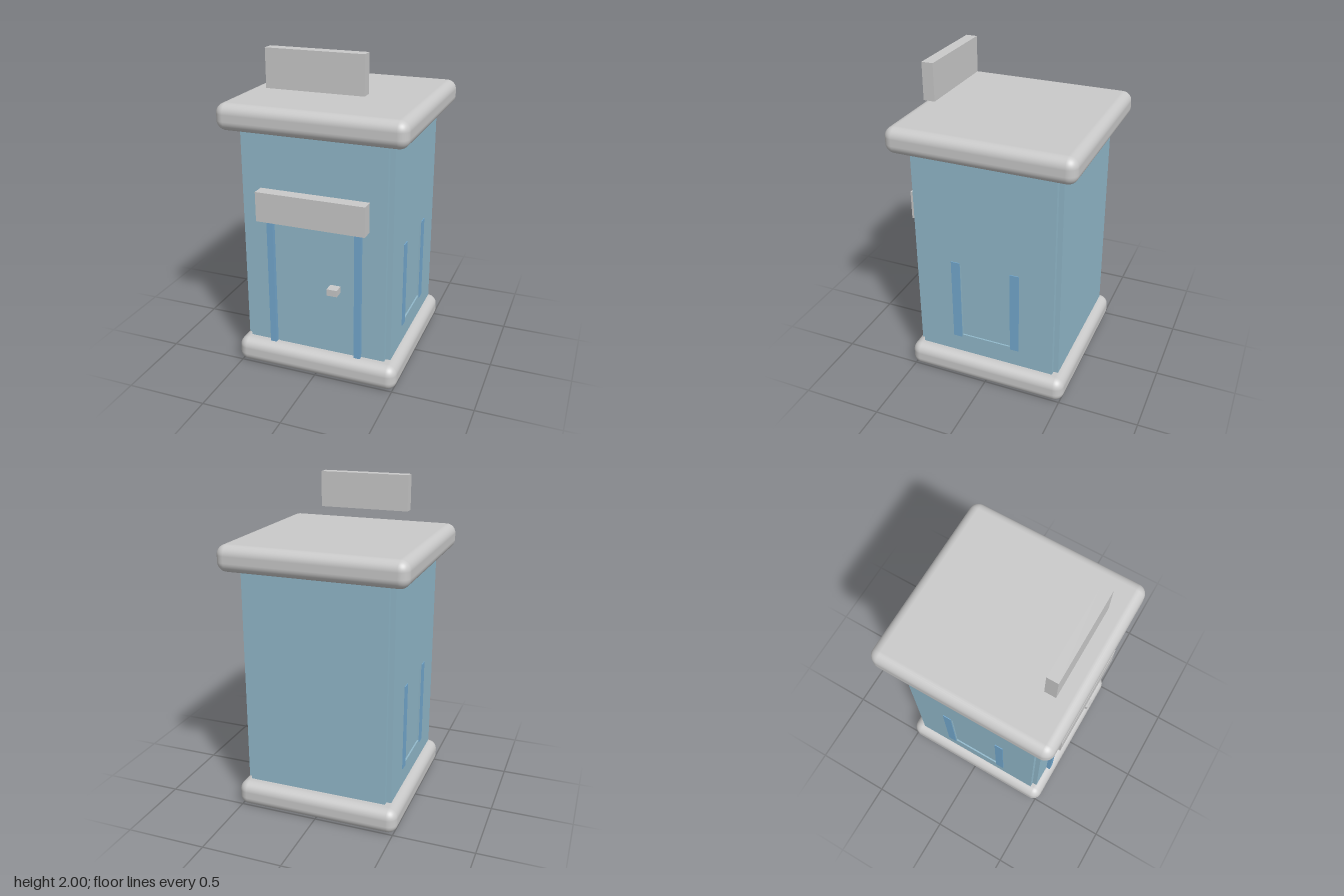
import * as THREE from 'three';
import { RoundedBoxGeometry } from 'three/addons/geometries/RoundedBoxGeometry.js';

const material = (name, color) => {
  const m = new THREE.MeshStandardMaterial({ color });
  m.name = name;
  return m;
};

export function createModel() {
  const group = new THREE.Group();
  const grey = material('lightGrey', 0xcacaca);
  const wallBlue = material('wallBlue', 0x92b9cb);
  const trimBlue = material('trimBlue', 0x74a9cf);

  const add = (name, geometry, mat, parent = group) => {
    const mesh = new THREE.Mesh(geometry, mat);
    mesh.name = name;
    parent.add(mesh);
    return mesh;
  };
  // Box given by its extents on each axis
  const box = (name, mat, [x0, x1], [y0, y1], [z0, z1], parent = group) => {
    const mesh = add(name, new THREE.BoxGeometry(x1 - x0, y1 - y0, z1 - z0), mat, parent);
    mesh.position.set((x0 + x1) / 2, (y0 + y1) / 2, (z0 + z1) / 2);
    return mesh;
  };
  const rectangle = (path, x0, x1, y0, y1) =>
    path.moveTo(x0, y0).lineTo(x1, y0).lineTo(x1, y1).lineTo(x0, y1).closePath();

  // Rounded base and roof slabs
  add('base', new RoundedBoxGeometry(1.04, 0.16, 1.04, 5, 0.06), grey).position.y = 0.08;
  add('roof', new RoundedBoxGeometry(1.14, 0.16, 1.14, 5, 0.06), grey).position.y = 1.61;

  // Core: narrow foot below the walls, full width behind them
  box('foot', wallBlue, [-0.415, 0.415], [0.15, 0.18], [-0.415, 0.415]);
  box('core', wallBlue, [-0.44, 0.44], [0.18, 1.54], [-0.44, 0.44]);

  // Four wall panels, leaving a notch at each corner; the side ones hold windows
  ['front', 'left', 'back', 'right'].forEach((side, i) => {
    const wall = new THREE.Group();
    wall.name = side + 'Wall';
    wall.rotation.y = i * Math.PI / 2;
    group.add(wall);

    const shape = new THREE.Shape();
    rectangle(shape, -0.44, 0.44, 0.18, 1.54);
    const hasWindow = i % 2 === 1;
    if (hasWindow) {
      const hole = new THREE.Path();
      rectangle(hole, -0.16, 0.16, 0.31, 0.83);
      shape.holes.push(hole);
    }
    const panel = new THREE.ExtrudeGeometry(shape, { depth: 0.03, bevelEnabled: false });
    add(side + 'Panel', panel, wallBlue, wall).position.z = 0.44;

    if (hasWindow) {
      box('windowPane', wallBlue, [-0.16, 0.16], [0.31, 0.83], [0.44, 0.46], wall);
      for (const s of [-1, 1]) {
        const edges = [0.163 * s, 0.22 * s].sort((a, b) => a - b);
        box('shutter', trimBlue, edges, [0.295, 0.845], [0.467, 0.475], wall);
      }
    }
  });

  // Door with a lower panel, frame posts, lintel and handle
  box('door', wallBlue, [-0.243, 0.243], [0.35, 1.005], [0.468, 0.476]);
  box('doorLowerPanel', wallBlue, [-0.243, 0.243], [0.18, 0.35], [0.467, 0.473]);
  box('doorPostRight', trimBlue, [-0.295, -0.255], [0.18, 1.005], [0.46, 0.497]);
  box('doorPostLeft', trimBlue, [0.255, 0.295], [0.18, 1.005], [0.46, 0.497]);
  box('lintel', grey, [-0.336, 0.336], [1.005, 1.187], [0.46, 0.547]);
  box('doorHandle', grey, [0.1, 0.164], [0.595, 0.636], [0.47, 0.537]);

  // Sign board floating above the roof
  box('signBoard', grey, [-0.29, 0.29], [1.775, 2], [0.372, 0.442]);

  return group;
}
